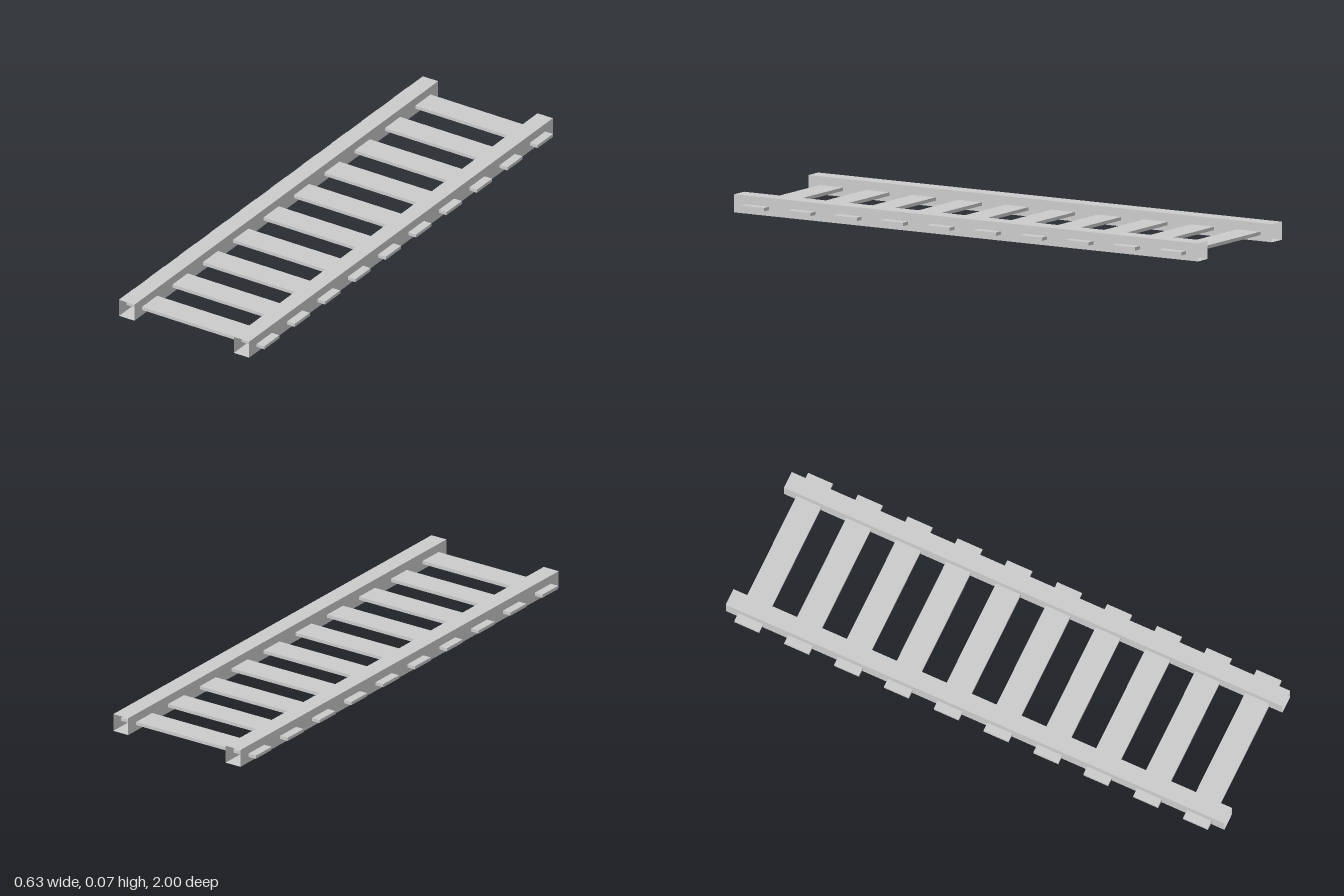
import * as THREE from 'three';

const LENGTH = 2, RAIL = 0.0667, RAIL_X = 0.25;
const RUNGS = 10, PITCH = 0.2;

// Square hollow rail: four thin walls, open at both ends
function railGeometry() {
  const h = RAIL / 2;
  const walls = new THREE.CylinderGeometry(h * Math.SQRT2, h * Math.SQRT2, LENGTH, 4, 1, true, Math.PI / 4);
  return walls.rotateX(Math.PI / 2);
}

export function createModel() {
  const group = new THREE.Group();
  group.name = 'ladder';
  const solid = new THREE.MeshStandardMaterial({ color: 0xcccccc, flatShading: true });
  const thin = new THREE.MeshStandardMaterial({ color: 0xcccccc, flatShading: true, side: THREE.DoubleSide });

  // Side rails
  const railGeo = railGeometry();
  for (const side of [1, -1]) {
    const rail = new THREE.Mesh(railGeo, thin);
    rail.name = side > 0 ? 'leftRail' : 'rightRail';
    rail.position.set(side * RAIL_X, RAIL / 2, 0);
    group.add(rail);
  }

  // Flat rungs passing through both rails
  const rungGeo = new THREE.BoxGeometry(0.633, 0.0125, 0.1);
  for (let i = 0; i < RUNGS; i++) {
    const rung = new THREE.Mesh(rungGeo, solid);
    rung.name = `rung${i + 1}`;
    rung.position.set(0, 0.0283, (i - (RUNGS - 1) / 2) * PITCH);
    group.add(rung);
  }
  return group;
}
